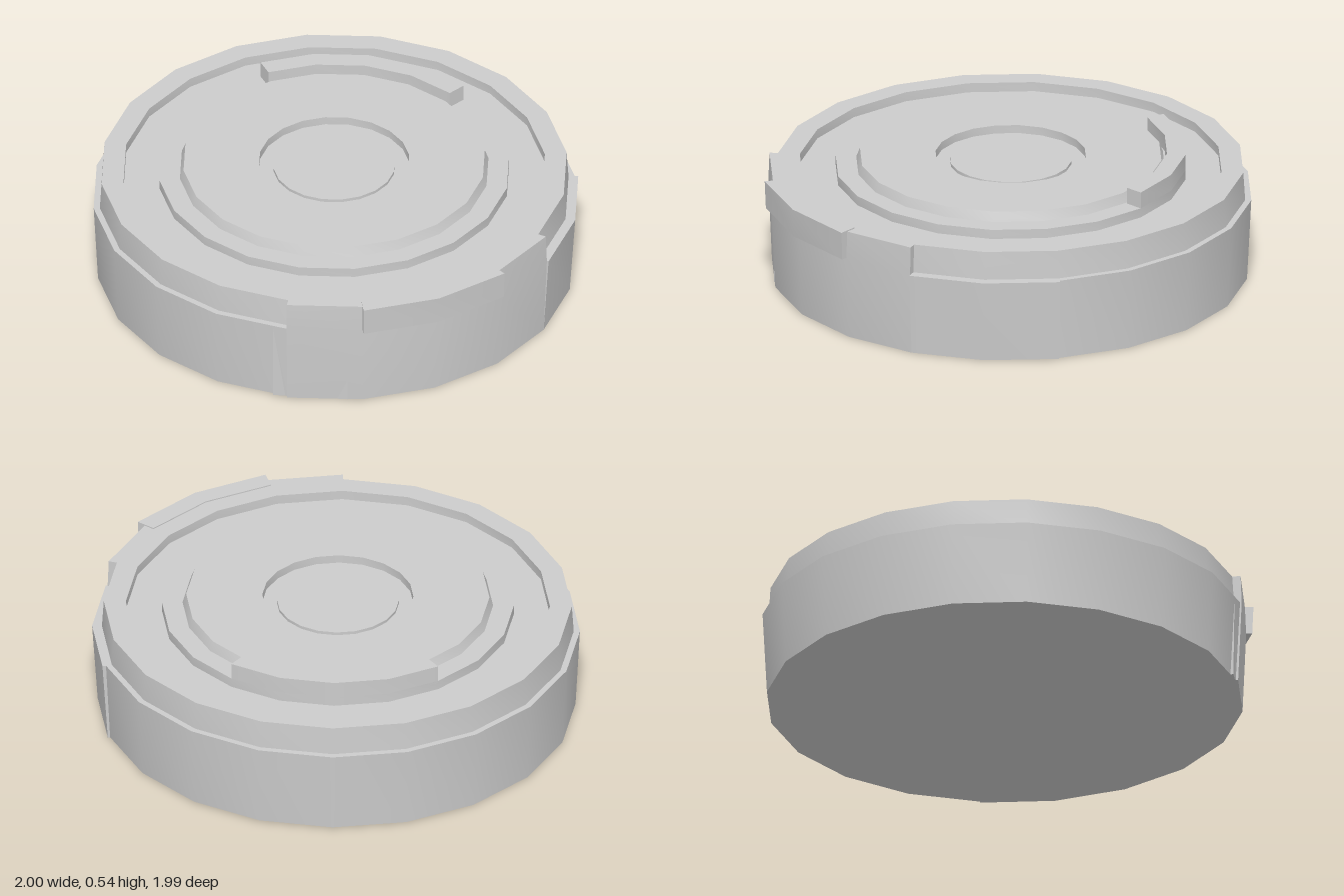
import * as THREE from 'three';
import { mergeGeometries, toCreasedNormals } from 'three/addons/utils/BufferGeometryUtils.js';

const SIDES = 20;
const rad = THREE.MathUtils.degToRad;
const material = new THREE.MeshStandardMaterial({ color: 0xcccccc });
const sectorMaterial = new THREE.MeshStandardMaterial({ color: 0xcccccc, side: THREE.DoubleSide });

// Full turned part from a [radius, height] profile
function turned(name, profile) {
  const points = profile.map(([r, y]) => new THREE.Vector2(r, y));
  const mesh = new THREE.Mesh(toCreasedNormals(new THREE.LatheGeometry(points, SIDES), rad(25)), material);
  mesh.name = name;
  return mesh;
}

// Closed part of a turn between two azimuths in degrees (0 = front, 90 = left side)
function sector(name, profile, from, to) {
  const points = profile.map(([r, y]) => new THREE.Vector2(r, y));
  const steps = Math.round((to - from) / 18);
  const wall = new THREE.LatheGeometry([...points, points[0].clone()], steps, rad(from), rad(to - from));
  const caps = [from, to].map((a) =>
    new THREE.ShapeGeometry(new THREE.Shape(points)).toNonIndexed().rotateY(rad(a - 90)));
  const mesh = new THREE.Mesh(mergeGeometries([toCreasedNormals(wall, rad(25)), ...caps]), sectorMaterial);
  mesh.name = name;
  return mesh;
}

export function createModel() {
  const model = new THREE.Group();
  model.name = 'roundCase';

  // Tapered base, stepped lid with a groove, raised disc and central recess
  model.add(turned('base', [[0, 0], [0.975, 0], [0.993, 0.35], [0.9, 0.35]]));
  model.add(turned('lid', [
    [0.968, 0.345], [0.96, 0.47], [0.87, 0.47], [0.87, 0.43], [0.722, 0.43], [0.722, 0.47], [0.637, 0.47],
    [0.622, 0.51], [0.31, 0.51], [0.31, 0.475], [0.25, 0.475], [0.25, 0.488], [0, 0.488],
  ]));

  // Front panel: full height, with a short tab beside its lower half
  model.add(sector('frontPanel', [[0.93, 0], [0.985, 0], [1.0, 0.35], [0.995, 0.47], [0.93, 0.47]], 0, 72));
  model.add(sector('frontPanelTab', [[0.93, 0], [0.98, 0], [0.985, 0.345], [0.93, 0.345]], -3.5, 14.5));

  // Latch on the front panel
  model.add(sector('latch', [[0.95, 0.355], [1.025, 0.355], [1.03, 0.475], [0.95, 0.475]], 18, 54));

  // Raised panel on the left side
  model.add(sector('sidePanel', [[0.93, 0], [0.985, 0], [1.008, 0.35], [0.93, 0.35]], 72, 108));

  // Raised arc behind the disc
  model.add(sector('rearArc', [[0.645, 0.46], [0.722, 0.46], [0.722, 0.54], [0.645, 0.54]], 144, 216));

  model.children.forEach((part) => part.position.set(-0.006, 0, -0.005));
  return model;
}
